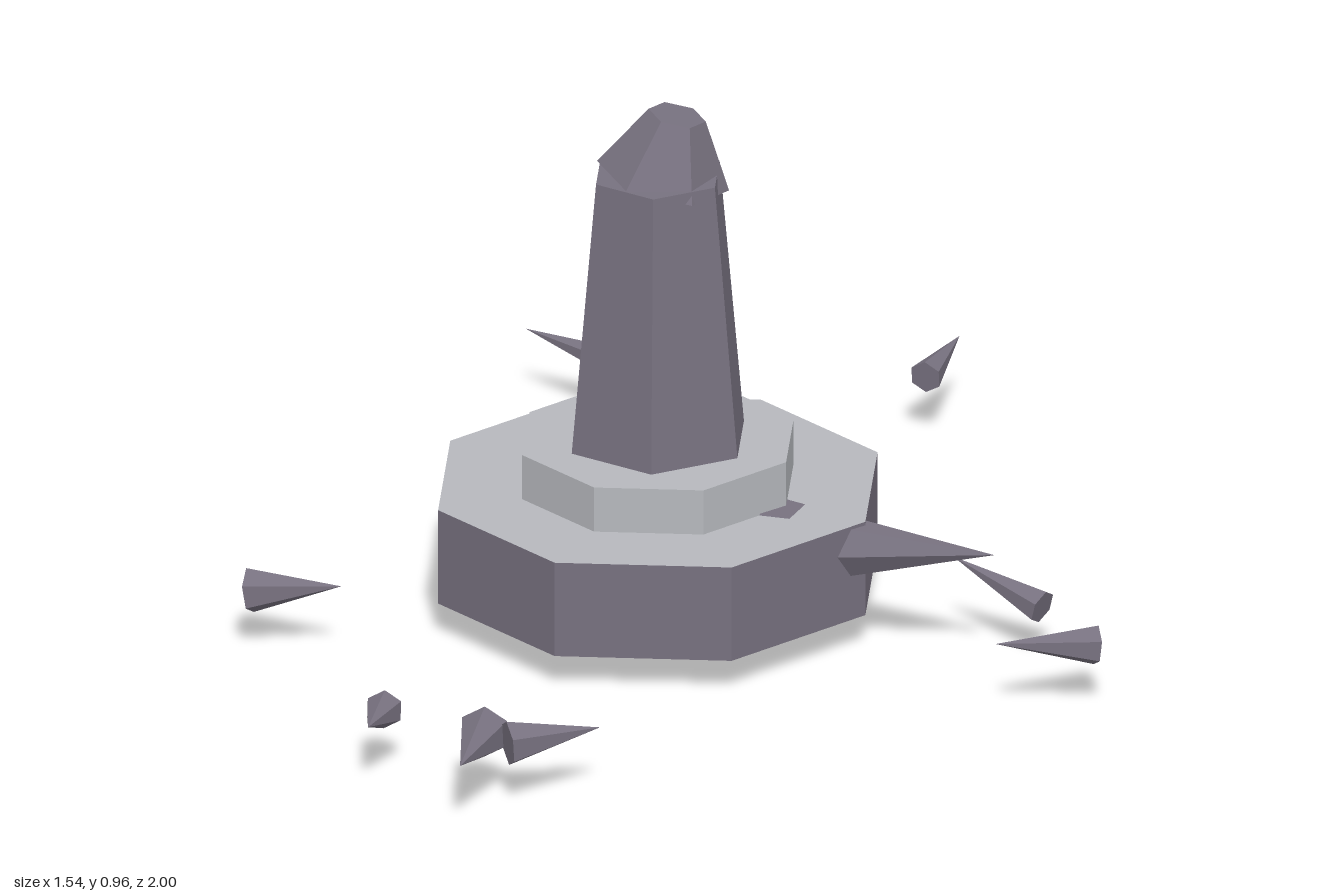
import * as THREE from 'three';

const dark = new THREE.MeshStandardMaterial({ color: 0x77717f, flatShading: true });
dark.name = 'dark stone';
const light = new THREE.MeshStandardMaterial({ color: 0xb6b8bd, flatShading: true });
light.name = 'pale stone';

export function createModel() {
  const group = new THREE.Group();
  const cx = -0.05, cz = -0.04;

  // Faceted drum between two heights on the monument's axis
  function drum(name, rTop, rBottom, y0, y1, sides, turn, materials) {
    const geo = new THREE.CylinderGeometry(rTop, rBottom, y1 - y0, sides);
    geo.rotateY(turn);
    const mesh = new THREE.Mesh(geo, materials);
    mesh.name = name;
    mesh.position.set(cx, (y0 + y1) / 2, cz);
    group.add(mesh);
    return mesh;
  }

  // Six-sided spike from the centre of its base to its tip
  function spike(name, base, tip, radius, turn = 0) {
    const from = new THREE.Vector3(...base), to = new THREE.Vector3(...tip);
    const length = from.distanceTo(to);
    const geo = new THREE.ConeGeometry(radius, length, 6);
    geo.rotateY(turn).translate(0, length / 2, 0).rotateX(Math.PI / 2);
    const mesh = new THREE.Mesh(geo, dark);
    mesh.name = name;
    mesh.position.copy(from);
    mesh.lookAt(to);
    group.add(mesh);
  }

  // Octagonal plinth with a pale top, and the pale step on it
  drum('plinth', 0.411, 0.411, 0.065, 0.245, 8, Math.PI / 8, [dark, light, dark]);
  drum('step', 0.254, 0.254, 0.245, 0.33, 8, Math.PI / 8, light);

  // Tapering hexagonal pillar
  drum('pillar', 0.122, 0.17, 0.33, 0.84, 6, 0, dark);

  // Crooked cap, tilted on the pillar
  const cap = drum('cap', 0.052, 0.12, 0.83, 0.95, 6, Math.PI / 6, dark);
  cap.position.set(-0.029, 0.888, -0.052);
  cap.rotation.z = -0.21;

  // Large spike driven through the plinth
  spike('plinthSpike', [-0.2, 0.135, -0.062], [0.565, 0.225, 0.205], 0.155, Math.PI / 6);

  // Loose shards around the monument: base, tip, radius
  const shards = [
    [[-0.18, 0.11, -0.88], [-0.35, 0.13, -0.98], 0.03],
    [[0.37, 0.115, -0.845], [0.42, 0.13, -1.0], 0.03],
    [[0.0, 0.11, -0.515], [0.105, 0.13, -0.655], 0.04],
    [[0.645, 0.095, 0.13], [0.48, 0.145, 0.03], 0.032],
    [[0.755, 0.113, 0.335], [0.58, 0.135, 0.395], 0.037],
    [[-0.76, 0.106, 0.175], [-0.595, 0.135, 0.215], 0.042],
    [[-0.485, 0.11, 0.705], [-0.505, 0.128, 0.83], 0.035],
    [[-0.3, 0.115, 0.805], [-0.33, 0.13, 0.998], 0.047],
    [[-0.255, 0.115, 0.855], [-0.095, 0.125, 0.795], 0.042],
  ];
  shards.forEach(([base, tip, r], i) => spike('shard' + (i + 1), base, tip, r));

  return group;
}
